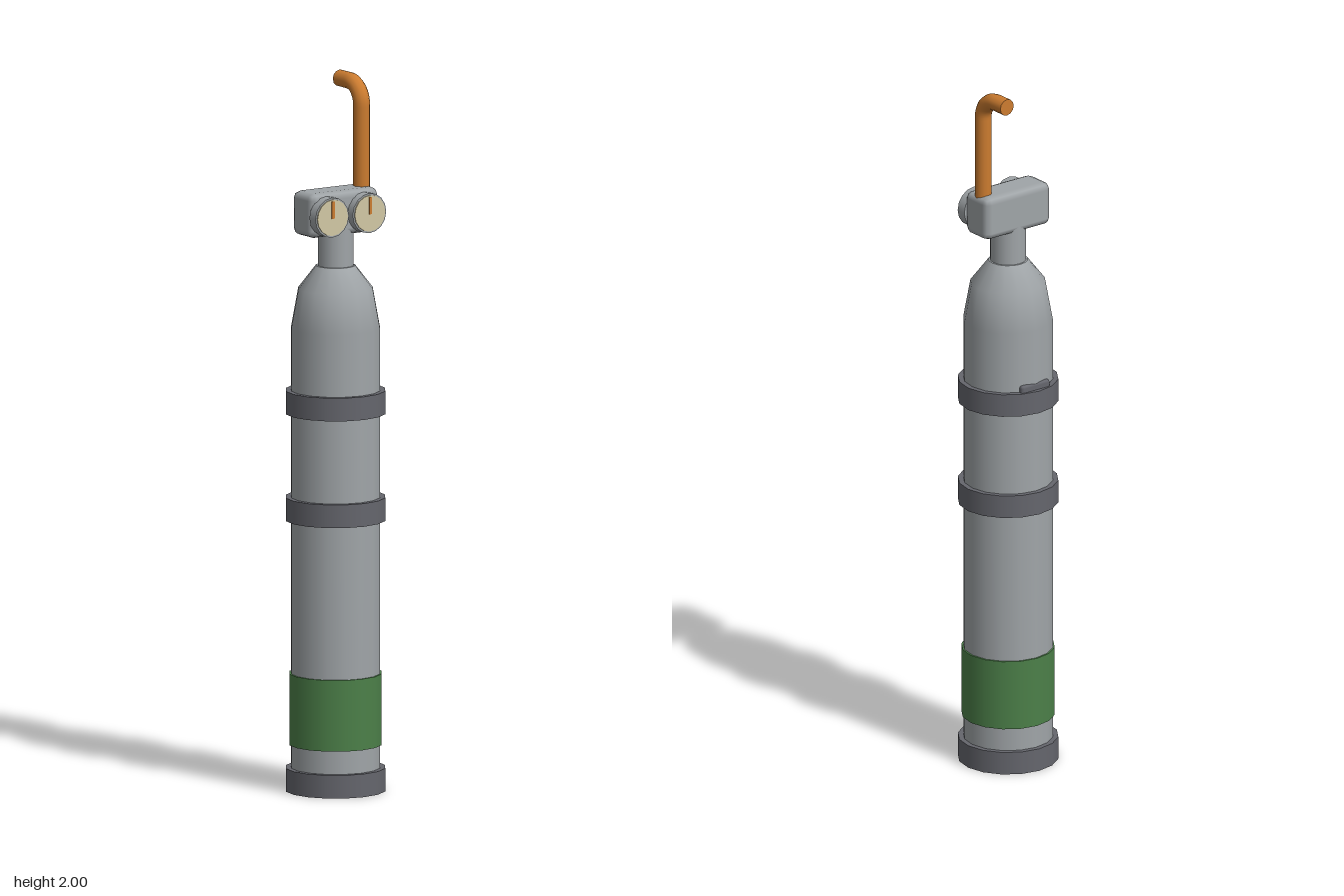
import * as THREE from 'three';
import { RoundedBoxGeometry } from 'three/addons/geometries/RoundedBoxGeometry.js';

const material = (name, color) => {
  const m = new THREE.MeshStandardMaterial({ color });
  m.name = name;
  return m;
};

export function createModel() {
  const metal = material('tank grey', 0xa0a5a8);
  const dark = material('dark band grey', 0x65666d);
  const green = material('green stripe', 0x4c8049);
  const copper = material('copper orange', 0xcc7c30);
  const cream = material('dial cream', 0xd2c8a4);

  const group = new THREE.Group();
  const add = (name, geometry, mat, x = 0, y = 0, z = 0) => {
    const mesh = new THREE.Mesh(geometry, mat);
    mesh.name = name;
    mesh.position.set(x, y, z);
    group.add(mesh);
    return mesh;
  };
  // Upright cylinder between two heights
  const ring = (name, r, y0, y1, mat) =>
    add(name, new THREE.CylinderGeometry(r, r, y1 - y0, 16), mat, 0, (y0 + y1) / 2);

  // Tank body with tapered shoulder
  const profile = [[0.125, 0.03], [0.125, 1.3], [0.105, 1.41], [0.055, 1.475], [0, 1.475]]
    .map(([r, y]) => new THREE.Vector2(r, y));
  add('tankBody', new THREE.LatheGeometry(profile.slice(0, 4), 16), metal);
  add('tankTop', new THREE.LatheGeometry(profile.slice(3), 16), metal);
  ring('neck', 0.05, 1.46, 1.59, metal);

  // Base, straps and painted stripe
  ring('base', 0.14, 0, 0.065, dark);
  ring('lowerStrap', 0.14, 0.76, 0.825, dark);
  ring('upperStrap', 0.14, 1.06, 1.125, dark);
  ring('stripe', 0.13, 0.13, 0.33, green);

  // Small bracket behind the upper strap
  add('backBracket', new RoundedBoxGeometry(0.1, 0.08, 0.03, 1, 0.008), dark, 0, 1.105, -0.112);

  // Valve block
  add('valveBlock', new RoundedBoxGeometry(0.23, 0.125, 0.1, 1, 0.02), metal, 0, 1.6275, 0);

  // Pair of gauges
  for (const x of [-0.0625, 0.0625]) {
    const y = 1.625;
    add('gaugeCase', new THREE.CylinderGeometry(0.056, 0.056, 0.03, 16), metal, x, y, 0.06)
      .rotation.x = Math.PI / 2;
    add('gaugeDial', new THREE.CylinderGeometry(0.051, 0.051, 0.004, 16), cream, x, y, 0.076)
      .rotation.x = Math.PI / 2;
    add('gaugeNeedle', new THREE.BoxGeometry(0.009, 0.048, 0.004), copper, x, y + 0.022, 0.079);
  }

  // Bent outlet pipe
  const px = 0.0875, top = 1.9765, bend = 0.06;
  const path = new THREE.CurvePath();
  const p = (y, z) => new THREE.Vector3(px, y, z);
  path.add(new THREE.LineCurve3(p(1.67, 0), p(top - bend, 0)));
  const k = bend * 0.45;
  path.add(new THREE.CubicBezierCurve3(p(top - bend, 0), p(top - k, 0), p(top, -k), p(top, -bend)));
  path.add(new THREE.LineCurve3(p(top, -bend), p(top, -0.107)));
  add('pipe', new THREE.TubeGeometry(path, 40, 0.0235, 12), copper);
  add('pipeEnd', new THREE.CircleGeometry(0.0235, 12), copper, px, top, -0.107).rotation.y = Math.PI;

  return group;
}
